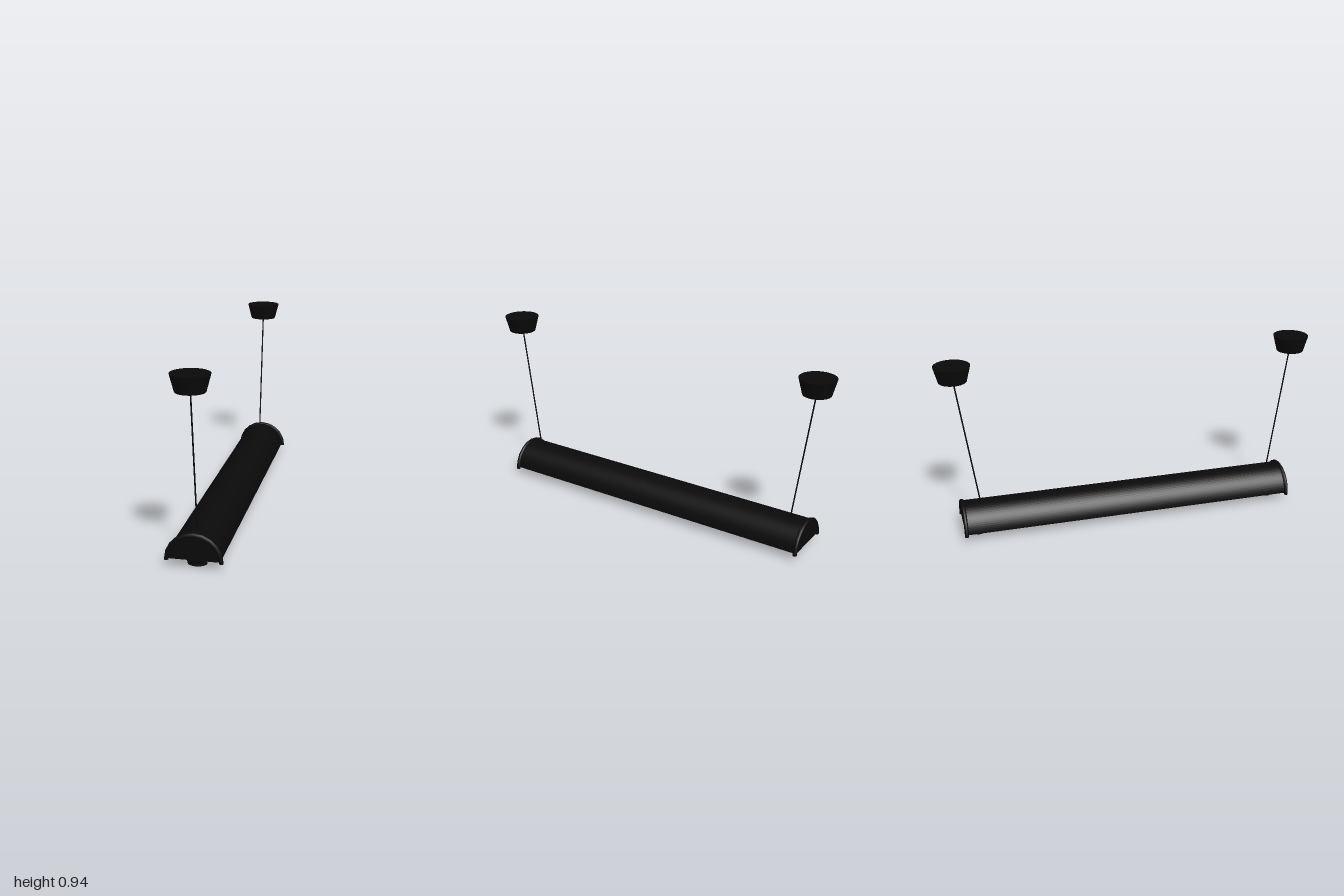
import * as THREE from 'three';

const black = new THREE.MeshStandardMaterial({ color: 0x0a0a0a, side: THREE.DoubleSide });
const grey = new THREE.MeshStandardMaterial({ color: 0xcccccc });
const MID = -0.01; // the shade sits slightly towards the back
const HALF = 0.9; // half length of the shade

function add(parent, name, geometry, material = black) {
  const mesh = new THREE.Mesh(geometry, material);
  mesh.name = name;
  parent.add(mesh);
  return mesh;
}

// Half-round outline, optionally hollow
function arch(outer, inner) {
  const shape = new THREE.Shape();
  shape.absarc(0, 0, outer, 0, Math.PI, false);
  if (inner) shape.absarc(0, 0, inner, Math.PI, 0, true);
  shape.closePath();
  return shape;
}

function extrude(shape, depth, curveSegments) {
  return new THREE.ExtrudeGeometry(shape, { depth, curveSegments, bevelEnabled: false });
}

// Straight round rod between two points
function rod(a, b, radius) {
  return new THREE.TubeGeometry(new THREE.LineCurve3(a, b), 1, radius, 8);
}

// One end of the shade, built towards +z
function makeEnd() {
  const end = new THREE.Group();
  const plate = add(end, 'endPlate', extrude(arch(0.132), 0.012, 10));
  plate.position.set(0, 0.049, HALF - 0.012);

  // Rolled rim around the end plate
  const rim = add(end, 'endRim', new THREE.TorusGeometry(0.131, 0.011, 10, 10, Math.PI));
  rim.position.set(0, 0.042, HALF - 0.004);

  // Lamp holder with an arm sloping up to the end plate
  const holder = add(end, 'lampHolder', new THREE.CylinderGeometry(0.047, 0.047, 0.055, 24));
  holder.scale.z = 0.8;
  holder.position.set(0, 0.0275, 0.822);
  const arm = new THREE.Shape();
  arm.moveTo(-0.81, 0.006);
  arm.lineTo(-0.855, 0.012);
  arm.lineTo(-0.875, 0.032);
  arm.lineTo(-0.895, 0.042);
  arm.lineTo(-0.895, 0.065);
  arm.lineTo(-0.81, 0.065);
  arm.closePath();
  const bracket = add(end, 'holderArm', extrude(arm, 0.064, 4));
  bracket.rotation.y = Math.PI / 2;
  bracket.position.x = -0.032;

  // Narrow collar holding the tube
  add(end, 'tubeCollar', rod(new THREE.Vector3(0, 0.03, 0.75), new THREE.Vector3(0, 0.03, 0.81), 0.016));
  return end;
}

export function createModel() {
  const model = new THREE.Group();
  model.name = 'pendantLamp';

  const fixture = new THREE.Group();
  fixture.name = 'fixture';
  fixture.position.z = MID;
  model.add(fixture);

  // Hollow half-round shade
  const shade = add(fixture, 'shade', extrude(arch(0.126, 0.12), 2 * HALF - 0.01, 20));
  shade.position.set(0, 0.049, -HALF + 0.005);

  // Light tube
  const tube = add(fixture, 'lightTube', new THREE.CylinderGeometry(0.02, 0.02, 1.515, 24), grey);
  tube.rotation.x = Math.PI / 2;
  tube.position.y = 0.03;

  // Ceiling cups have a closed top and a smooth tapered wall
  const cup = new THREE.CylinderGeometry(0.093, 0.071, 0.083, 32);

  for (const side of [1, -1]) {
    const end = makeEnd();
    end.name = side > 0 ? 'frontEnd' : 'backEnd';
    if (side < 0) end.rotation.y = Math.PI;
    fixture.add(end);

    add(model, 'ceilingCup', cup).position.set(0, 0.898, side * 0.907);
    add(model, 'cable', rod(
      new THREE.Vector3(0, 0.86, side * 0.905),
      new THREE.Vector3(0, 0.172, side * 0.812), 0.0038));
  }
  return model;
}
